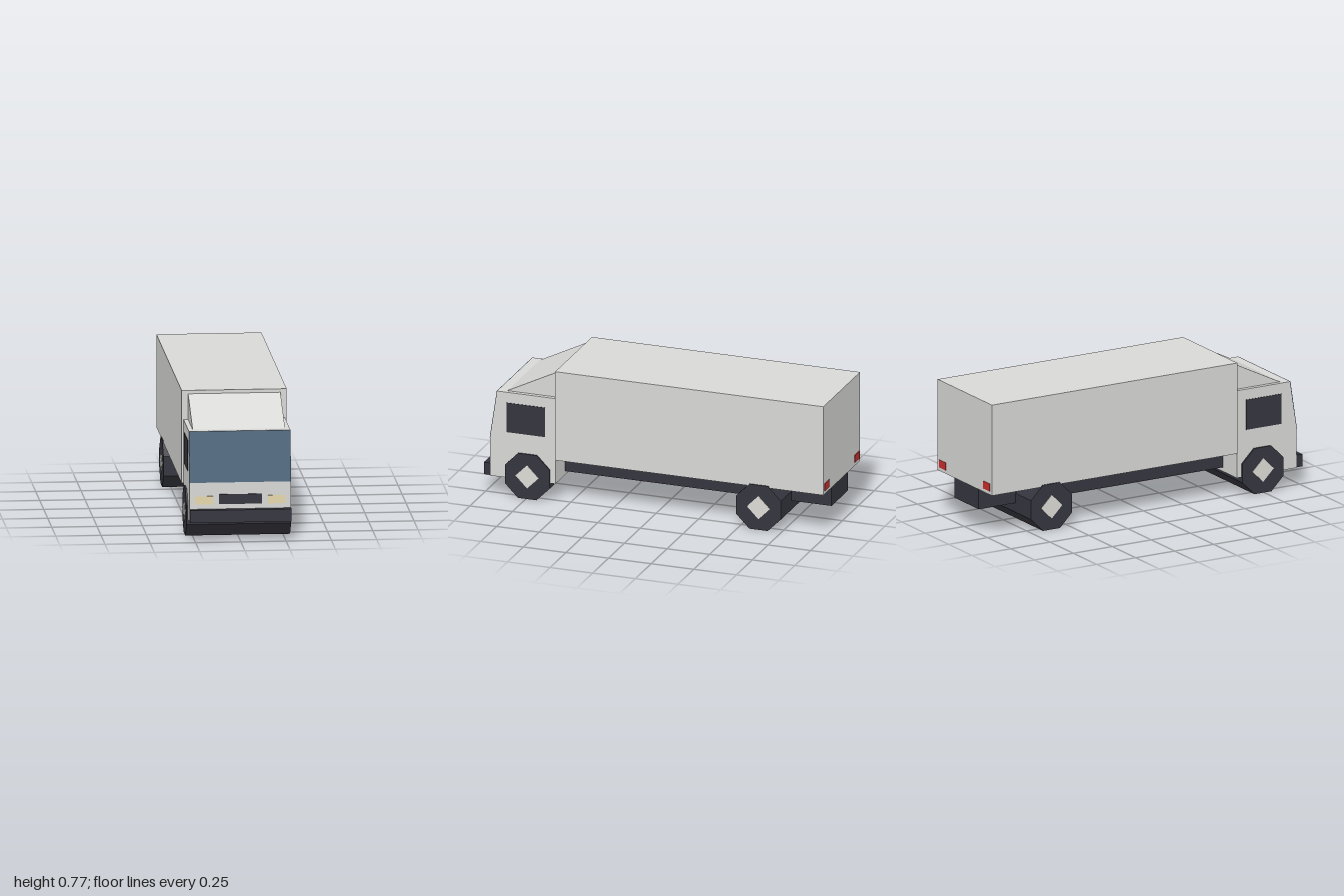
import * as THREE from 'three';

const mat = (name, color) => {
  const m = new THREE.MeshStandardMaterial({ color });
  m.name = name;
  return m;
};

export function createModel() {
  const truck = new THREE.Group();
  truck.name = 'boxTruck';

  const body = mat('bodyGrey', 0xd8d8d6);
  const dark = mat('darkTrim', 0x35353f);
  const glass = mat('windshieldBlue', 0x4a647b);
  const lamp = mat('headlightCream', 0xe6d8ac);
  const red = mat('tailLightRed', 0xcc2e2e);
  const hubMat = mat('hubGrey', 0xdddcd6);

  const add = (name, geometry, material) => {
    const mesh = new THREE.Mesh(geometry, material);
    mesh.name = name;
    truck.add(mesh);
    return mesh;
  };

  // Box given by its extents on each axis
  const box = (name, material, [x0, x1], [y0, y1], [z0, z1]) => {
    const mesh = add(name, new THREE.BoxGeometry(x1 - x0, y1 - y0, z1 - z0), material);
    mesh.position.set((x0 + x1) / 2, (y0 + y1) / 2, (z0 + z1) / 2);
    return mesh;
  };

  // Side profile of [z, y] points, extruded across the width
  const prism = (name, material, points, width) => {
    const shape = new THREE.Shape(points.map(([z, y]) => new THREE.Vector2(z, y)));
    const g = new THREE.ExtrudeGeometry(shape, { depth: width, bevelEnabled: false });
    g.rotateY(-Math.PI / 2);
    g.translate(width / 2, 0, 0);
    return add(name, g, material);
  };

  // Cargo box and chassis beam
  box('cargoBox', body, [-0.29, 0.29], [0.25, 0.77], [-0.996, 0.578]);
  box('chassis', dark, [-0.13, 0.13], [0.13, 0.25], [-0.985, 0.58]);

  // Cab with sloping front, and the wedge-shaped roof deflector
  prism('cab', body, [[0.58, 0.107], [0.963, 0.107], [0.963, 0.328], [0.921, 0.608], [0.58, 0.608]], 0.56);
  prism('roofDeflector', body, [[0.585, 0.608], [0.872, 0.608], [0.585, 0.752]], 0.51);

  // Windshield plate lying on the slope
  const windshield = add('windshield', new THREE.BoxGeometry(0.56, 0.283, 0.004), glass);
  windshield.position.set(0, 0.468, 0.943);
  windshield.rotation.x = -Math.atan2(0.042, 0.28);

  // Front details
  box('bumper', dark, [-0.28, 0.28], [0.11, 0.18], [0.96, 1.0]);
  box('grille', dark, [-0.118, 0.118], [0.207, 0.262], [0.961, 0.967]);

  for (const side of [1, -1]) {
    const label = side > 0 ? 'left' : 'right';
    const span = (a, b) => (side > 0 ? [a, b] : [-b, -a]);
    box(label + 'Headlight', lamp, span(0.152, 0.25), [0.207, 0.252], [0.961, 0.967]);
    box(label + 'TailLight', red, span(0.2, 0.272), [0.27, 0.313], [-1.0, -0.994]);
    box(label + 'SideWindow', dark, span(0.278, 0.283), [0.375, 0.547], [0.64, 0.865]);
  }

  // Full-width octagonal wheels with diamond hubs
  const apothem = 0.131;
  const wheels = [['front', 0.742, 0.289], ['rear', -0.618, 0.296]];
  for (const [label, z, half] of wheels) {
    const r = apothem / Math.cos(Math.PI / 8);
    const tyre = new THREE.CylinderGeometry(r, r, half * 2, 8, 1, false, Math.PI / 8).toNonIndexed();
    tyre.rotateZ(Math.PI / 2);
    tyre.computeVertexNormals();
    add(label + 'Wheels', tyre, dark).position.set(0, apothem, z);
    for (const side of [1, -1]) {
      const hub = new THREE.CylinderGeometry(0.068, 0.068, 0.004, 4).toNonIndexed();
      hub.rotateZ(Math.PI / 2);
      hub.computeVertexNormals();
      add(label + (side > 0 ? 'LeftHub' : 'RightHub'), hub, hubMat).position.set(side * (half + 0.001), apothem, z);
    }
  }

  return truck;
}
